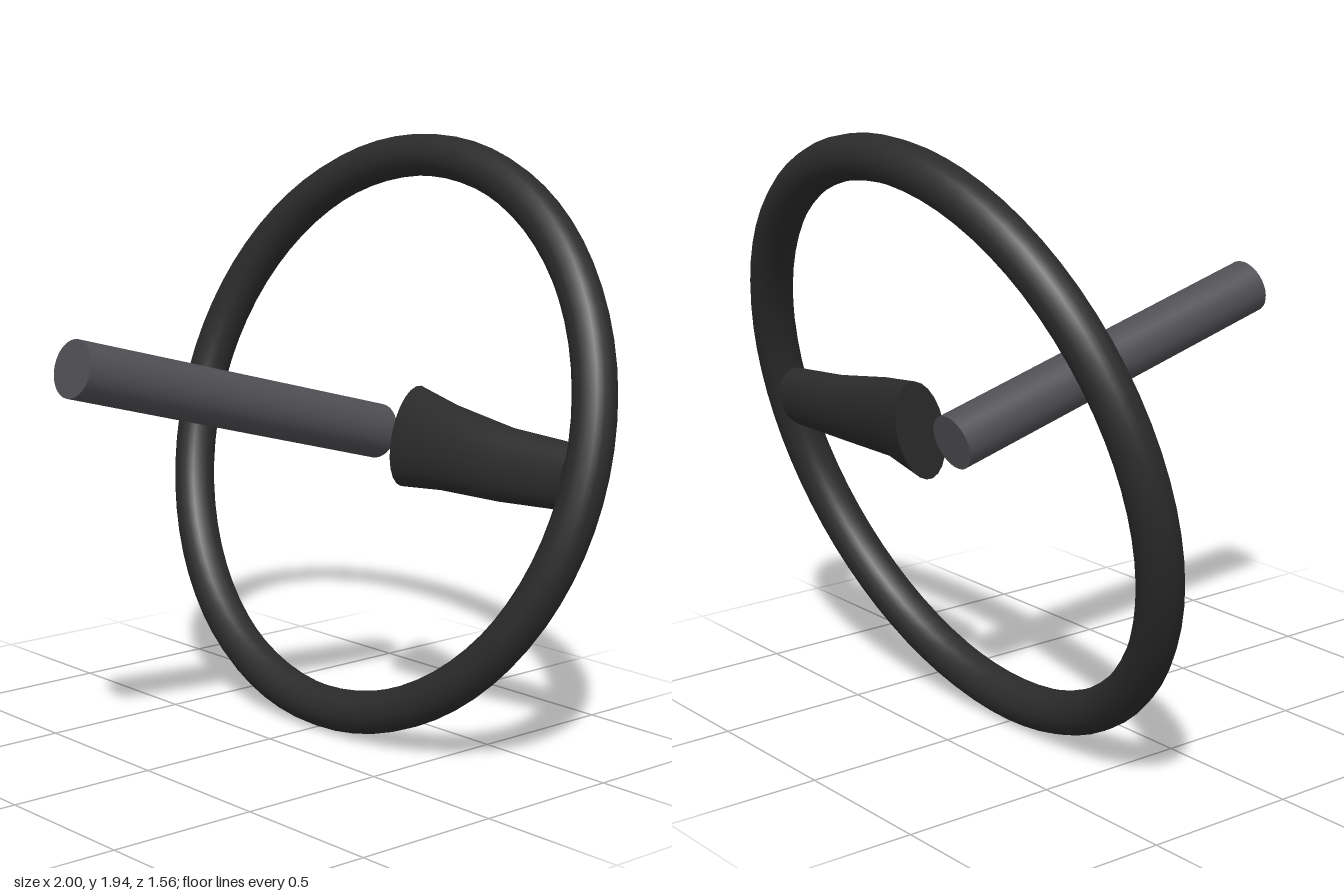
import * as THREE from 'three';

const black = new THREE.MeshStandardMaterial({ color: 0x2b2b2b });
black.name = 'blackGrip';
const grey = new THREE.MeshStandardMaterial({ color: 0x504f54 });
grey.name = 'greyMetal';

// Closed elliptical loft along x; each section is [x, y, z, halfHeight, halfDepth].
function loftGeometry(sections, sides = 24) {
  const positions = [];
  const index = [];
  const addRing = ([x, y, z, a, b]) => {
    const start = positions.length / 3;
    for (let i = 0; i < sides; i++) {
      const t = (i / sides) * Math.PI * 2;
      positions.push(x, y + a * Math.cos(t), z + b * Math.sin(t));
    }
    return start;
  };
  const starts = sections.map(addRing);
  for (let s = 0; s < starts.length - 1; s++) {
    for (let i = 0; i < sides; i++) {
      const j = (i + 1) % sides;
      const p = starts[s], q = starts[s + 1];
      index.push(p + i, p + j, q + i, p + j, q + j, q + i);
    }
  }
  // End caps have their own vertices so their rims stay sharp
  const inner = addRing(sections[0]);
  const outer = addRing(sections[sections.length - 1]);
  for (let i = 1; i < sides - 1; i++) {
    index.push(inner, inner + i + 1, inner + i);
    index.push(outer, outer + i, outer + i + 1);
  }
  const geometry = new THREE.BufferGeometry();
  geometry.setAttribute('position', new THREE.Float32BufferAttribute(positions, 3));
  geometry.setIndex(index);
  geometry.computeVertexNormals();
  return geometry;
}

export function createModel() {
  const model = new THREE.Group();
  model.name = 'steeringWheel';

  // Everything is laid out flat to the wheel, then leaned back
  const wheel = new THREE.Group();
  wheel.name = 'wheelAssembly';
  wheel.position.set(0, 0.968, -0.467);
  wheel.rotation.x = -Math.PI / 12;
  model.add(wheel);

  const add = (name, geometry, material) => {
    const mesh = new THREE.Mesh(geometry, material);
    mesh.name = name;
    wheel.add(mesh);
    return mesh;
  };

  // Rim
  add('rim', new THREE.TorusGeometry(0.93, 0.07, 16, 72), black);

  // Single spoke, narrowing toward the rim
  add('spoke', loftGeometry([
    [0.16, 0.005, 0, 0.167, 0.088],
    [0.37, -0.008, 0.03, 0.138, 0.08],
    [0.62, -0.025, 0.02, 0.117, 0.07],
    [0.88, -0.023, -0.002, 0.103, 0.062],
  ]), black);

  // Steering column, square to the wheel
  const column = add('column', new THREE.CylinderGeometry(0.09, 0.09, 1.275, 32), grey);
  column.rotation.x = Math.PI / 2;
  column.position.z = 1.275 / 2;

  return model;
}
